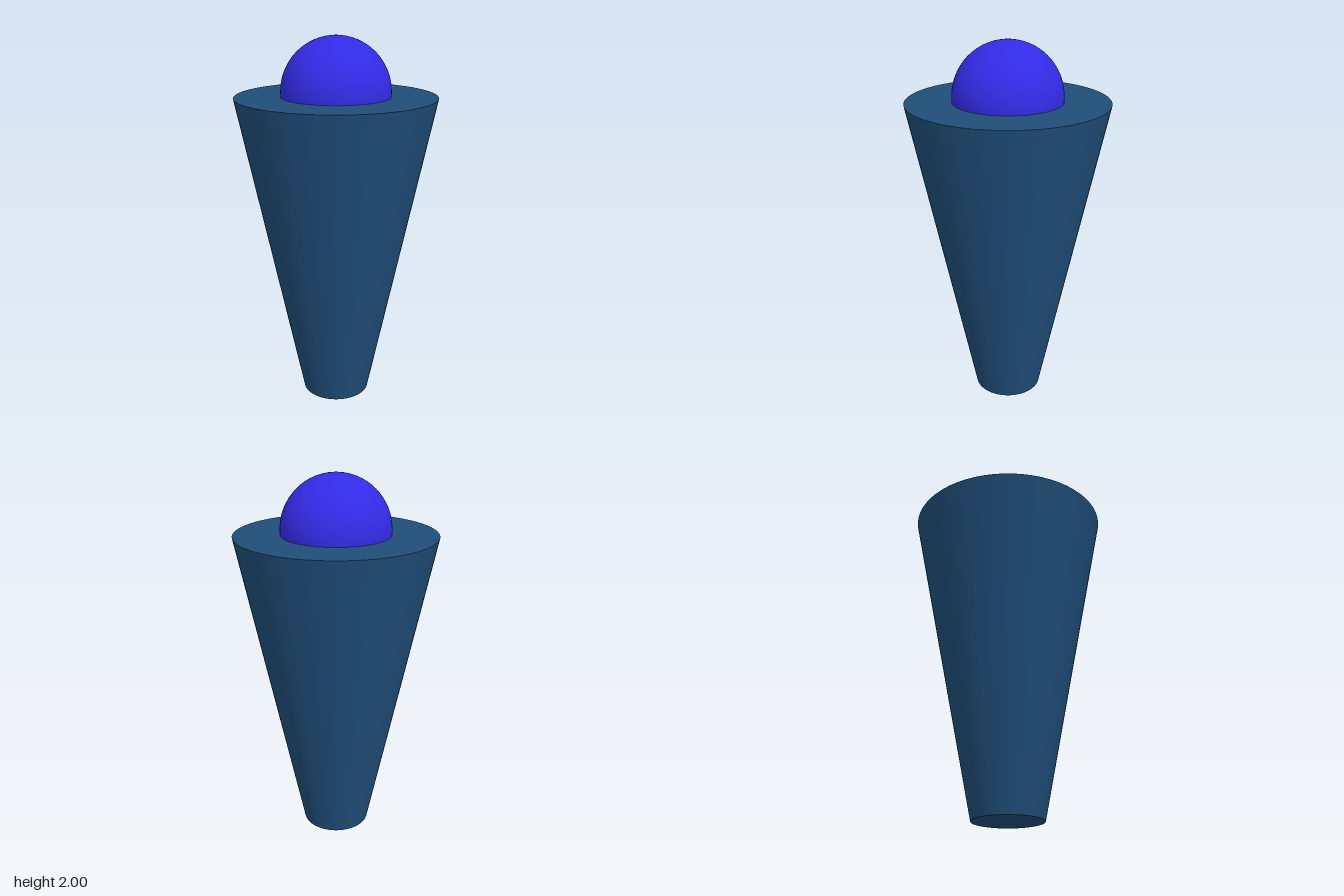
import * as THREE from 'three';

export function createModel() {
  const group = new THREE.Group();
  const add = (name, geometry, color, y) => {
    const mesh = new THREE.Mesh(geometry, new THREE.MeshStandardMaterial({ color }));
    mesh.name = name;
    mesh.position.y = y;
    group.add(mesh);
  };

  // Tapered solid body, wide end up
  const height = 1.693;
  add('taperedBody', new THREE.CylinderGeometry(0.528, 0.185, height, 64), 0x1f4e79, height / 2);

  // Ball sunk into the flat top
  const radius = 0.287;
  add('ball', new THREE.SphereGeometry(radius, 64, 32), 0x332be6, 2 - radius);

  return group;
}
